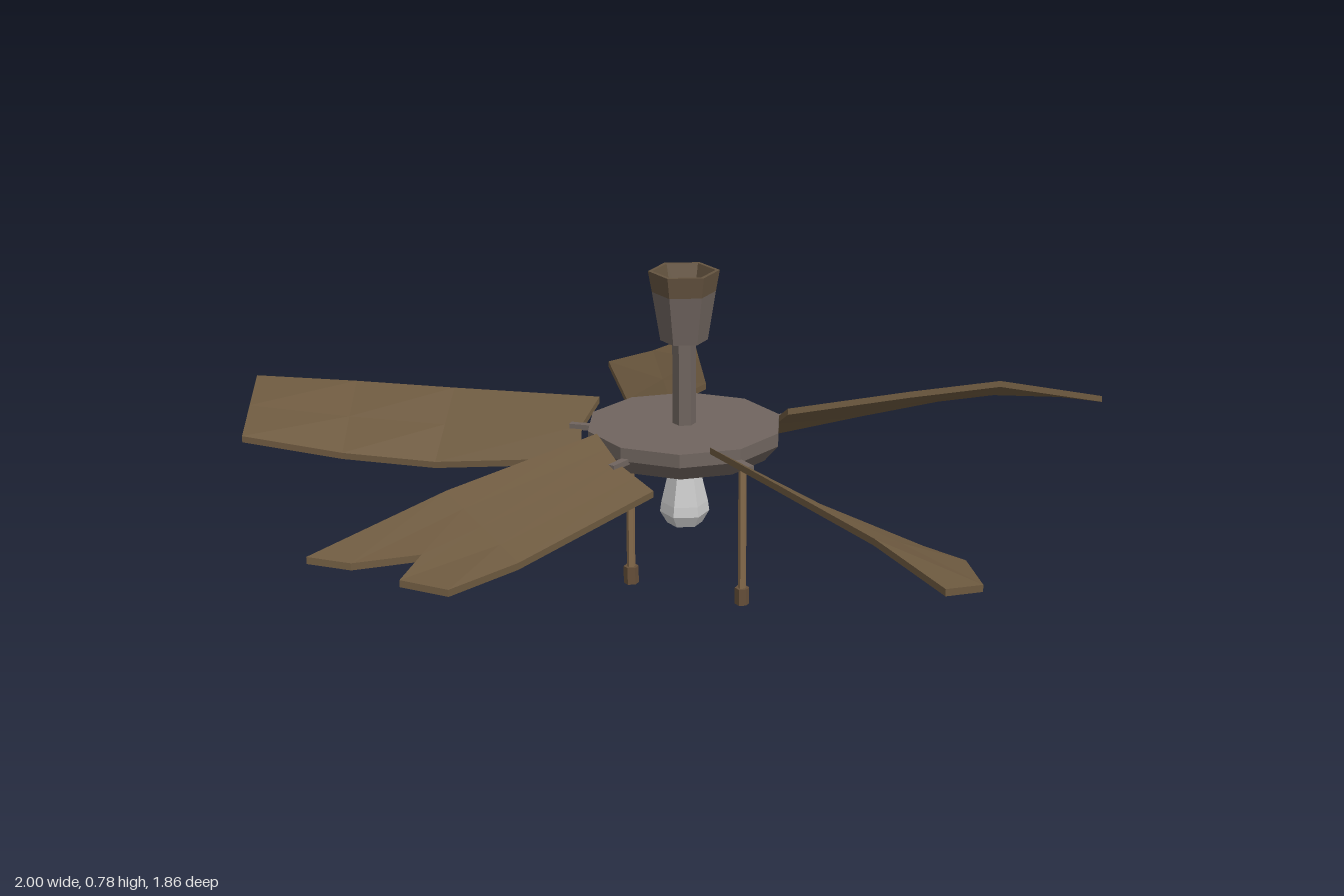
import * as THREE from 'three';

const mat = (name, color, extra = {}) => {
  const m = new THREE.MeshStandardMaterial({ color, flatShading: true, ...extra });
  m.name = name;
  return m;
};

// Resamples a short row of [x, y, z] points to n points
function resample(row, n) {
  return Array.from({ length: n }, (_, k) => {
    const t = (k / (n - 1)) * (row.length - 1);
    const i = Math.min(Math.floor(t), row.length - 2);
    return row[i].map((v, a) => v + (row[i + 1][a] - v) * (t - i));
  });
}

// Thin closed slab through cross rows that run from the high edge to the low edge
function slab(rows, thick) {
  const n = Math.max(...rows.map((r) => r.length));
  const top = rows.map((r) => resample(r, n));
  const low = top.map((r) => r.map(([x, y, z]) => [x, y - thick, z]));
  const pos = [];
  const quad = (a, b, c, d) => pos.push(...a, ...b, ...c, ...a, ...c, ...d);
  const R = rows.length - 1;
  for (let r = 0; r < R; r++) {
    for (let i = 0; i < n - 1; i++) {
      quad(top[r][i], top[r + 1][i], top[r + 1][i + 1], top[r][i + 1]);
      quad(low[r][i], low[r][i + 1], low[r + 1][i + 1], low[r + 1][i]);
    }
  }
  // Edge walls around the outline
  const ring = [];
  for (let r = 0; r < R; r++) ring.push([r, 0]);
  for (let i = 0; i < n - 1; i++) ring.push([R, i]);
  for (let r = R; r > 0; r--) ring.push([r, n - 1]);
  for (let i = n - 1; i > 0; i--) ring.push([0, i]);
  ring.forEach(([r, i], k) => {
    const [s, j] = ring[(k + 1) % ring.length];
    quad(low[r][i], low[s][j], top[s][j], top[r][i]);
  });
  const g = new THREE.BufferGeometry();
  g.setAttribute('position', new THREE.Float32BufferAttribute(pos, 3));
  g.computeVertexNormals();
  return g;
}

// Blades: root row, bent middle rows, tip row (some tips are broken)
const BLADES = {
  leftBlade: [
    [[0.205, 0.465, -0.01], [0.23, 0.42, -0.085], [0.215, 0.37, -0.15]],
    [[0.5, 0.462, 0.034], [0.5, 0.37, -0.143]],
    [[0.73, 0.455, 0.067], [0.72, 0.367, -0.138]],
    [[1.0, 0.382, 0.107], [0.957, 0.35, -0.13]],
  ],
  frontBlade: [
    [[-0.075, 0.465, 0.11], [-0.005, 0.42, 0.135], [0.065, 0.37, 0.12]],
    [[-0.09, 0.465, 0.37], [0.065, 0.372, 0.35]],
    [[-0.106, 0.462, 0.7], [0.08, 0.38, 0.615]],
    [[-0.117, 0.44, 0.925], [0, 0.41, 0.89], [0.1, 0.38, 0.72]],
  ],
  rightBlade: [
    [[-0.22, 0.465, -0.095], [-0.215, 0.42, -0.02], [-0.17, 0.37, 0.043]],
    [[-0.64, 0.462, 0.03], [-0.6, 0.37, 0.237]],
    [[-1, 0.445, 0.16], [-0.93, 0.43, 0.2], [-0.79, 0.42, 0.21], [-0.866, 0.405, 0.267], [-0.797, 0.39, 0.326]],
  ],
  backRightBlade: [
    [[-0.085, 0.465, -0.305], [-0.15, 0.42, -0.275], [-0.187, 0.37, -0.214]],
    [[-0.3, 0.455, -0.565], [-0.42, 0.342, -0.438]],
    [[-0.45, 0.45, -0.745], [-0.57, 0.35, -0.582]],
    [[-0.604, 0.44, -0.936], [-0.733, 0.375, -0.738]],
  ],
  backBlade: [
    [[0.16, 0.465, -0.257], [0.1, 0.42, -0.308], [0.037, 0.37, -0.32]],
    [[0.25, 0.465, -0.42], [0.125, 0.36, -0.53]],
    [[0.348, 0.46, -0.594], [0.278, 0.42, -0.658], [0.23, 0.37, -0.78]],
  ],
};

export function createModel() {
  const wood = mat('blade wood', 0x6e5a40);
  const metal = mat('grey metal', 0x70655f);
  const rust = mat('rusty metal', 0x655440);
  const glass = mat('bulb glass', 0xc9c9c9);
  const brass = mat('chain brass', 0x866b4c);
  const knob = mat('knob wood', 0x66503a);

  const root = new THREE.Group();
  root.name = 'ceilingFan';
  const body = new THREE.Group();
  body.name = 'fanBody';
  body.position.z = -0.1;
  root.add(body);

  const add = (parent, name, geo, material, x = 0, y = 0, z = 0) => {
    const m = new THREE.Mesh(geo, material);
    m.name = name;
    m.position.set(x, y, z);
    parent.add(m);
    return m;
  };
  const lathe = (points, sides) =>
    new THREE.LatheGeometry(points.map(([r, y]) => new THREE.Vector2(r, y)), sides);

  // Motor hub with a tapered underside
  add(body, 'motorHub', lathe([[0, 0.383], [0.18, 0.383], [0.21, 0.418], [0.21, 0.447], [0, 0.447]], 10), metal);

  // Hanging rod and hollow ceiling cup
  add(body, 'hangingRod', new THREE.CylinderGeometry(0.025, 0.025, 0.2, 6), metal, 0, 0.54);
  add(body, 'ceilingCup', lathe([[0, 0.63], [0.05, 0.63], [0.067, 0.735]], 6), metal);
  add(body, 'cupRim', lathe([[0.067, 0.735], [0.075, 0.78], [0.066, 0.78], [0.036, 0.66], [0, 0.66]], 6), rust);

  // Lamp socket and bulb
  add(body, 'lampSocket', lathe([[0, 0.338], [0.036, 0.338], [0.041, 0.355], [0.041, 0.385]], 6), metal);
  add(body, 'bulb', lathe([[0, 0.218], [0.038, 0.222], [0.053, 0.248], [0.05, 0.27], [0.034, 0.34]], 6), glass);

  // Pull chains with knobs
  for (const [x, bottom] of [[-0.14, 0.115], [0.147, 0]]) {
    const len = 0.39 - bottom - 0.03;
    add(body, 'pullChain', new THREE.CylinderGeometry(0.009, 0.009, len, 6), brass, x, 0.39 - len / 2, 0.005);
    add(body, 'chainKnob', new THREE.CylinderGeometry(0.016, 0.016, 0.038, 6), knob, x, bottom + 0.019, 0.005);
  }

  // Blades and the brackets that hold them
  for (const [name, rows] of Object.entries(BLADES)) {
    add(root, name, slab(rows, 0.014), wood);
    const [x, , z] = rows[0][1];
    const angle = Math.atan2(x, z + 0.1);
    const bracket = add(body, name + 'Bracket', new THREE.BoxGeometry(0.016, 0.012, 0.08), metal,
      Math.sin(angle) * 0.215, 0.418, Math.cos(angle) * 0.215);
    bracket.rotation.y = angle;
  }
  return root;
}
